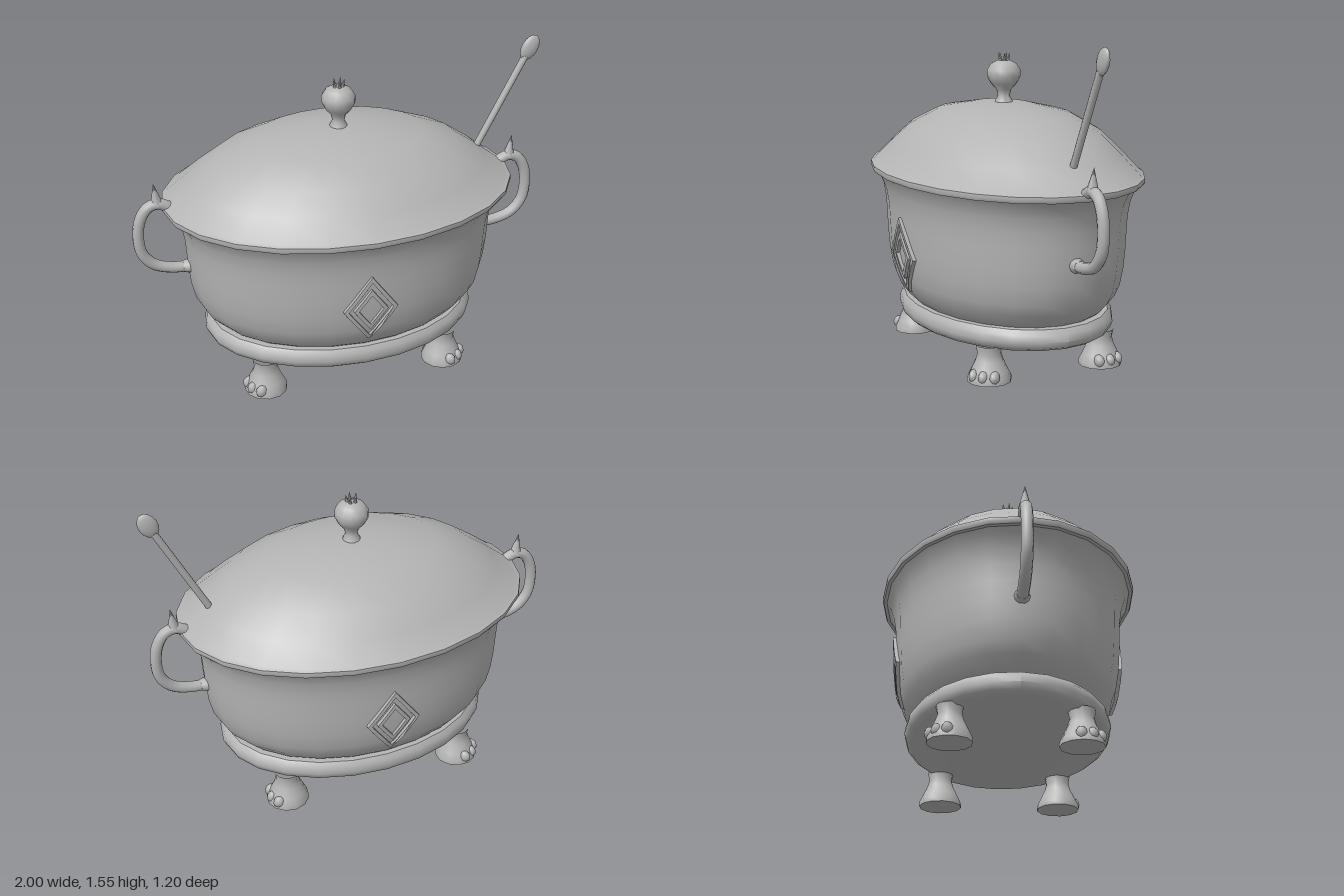
import * as THREE from 'three';
import { toCreasedNormals } from 'three/addons/utils/BufferGeometryUtils.js';

const pewter = new THREE.MeshStandardMaterial({ color: 0xb4b4b4 });
pewter.name = 'pewter grey';

const OVAL = 0.706; // depth of the oval relative to its width
const V3 = (x, y, z) => new THREE.Vector3(x, y, z);

function part(name, geometry, parent) {
  const mesh = new THREE.Mesh(geometry, pewter);
  mesh.name = name;
  parent.add(mesh);
  return mesh;
}

// turned shape from [radius, height] pairs, listed from the bottom upwards
function turned(profile, segments, depth = 1, crease = 0.75) {
  const g = new THREE.LatheGeometry(profile.map(([r, y]) => new THREE.Vector2(r, y)), segments);
  g.scale(1, 1, depth);
  return toCreasedNormals(g, crease);
}

const BOWL = [
  [0.59, 0.25], [0.63, 0.275], [0.685, 0.33], [0.715, 0.385], [0.735, 0.47], [0.745, 0.56],
  [0.75, 0.65], [0.755, 0.72], [0.77, 0.79], [0.8, 0.85], [0.83, 0.88],
];

// depth of the bowl wall at a point seen from the front
function wallZ(x, y) {
  const i = Math.max(1, BOWL.findIndex((p) => p[1] >= y));
  const [r0, y0] = BOWL[i - 1], [r1, y1] = BOWL[i];
  const r = r0 + ((r1 - r0) * (y - y0)) / (y1 - y0);
  return OVAL * Math.sqrt(r * r - x * x);
}

// outline of a diamond with subdivided sides, so it can follow the wall
function diamond(w, h, steps = 5) {
  const corners = [[w, 0], [0, h], [-w, 0], [0, -h]];
  const pts = [];
  corners.forEach(([x, y], i) => {
    const [nx, ny] = corners[(i + 1) % 4];
    for (let s = 0; s < steps; s++) {
      const t = s / steps;
      pts.push(new THREE.Vector2(x + (nx - x) * t, y + (ny - y) * t));
    }
  });
  return pts;
}

// raised diamond frame curved to the bowl
function diamondFrame(w, h, border) {
  const k = 1 - border / w;
  const shape = new THREE.Shape(diamond(w, h));
  shape.holes.push(new THREE.Path(diamond(w * k, h * k).reverse()));
  const g = new THREE.ExtrudeGeometry(shape, { depth: 0.025, bevelEnabled: false });
  const p = g.attributes.position;
  for (let i = 0; i < p.count; i++) {
    const x = p.getX(i), y = p.getY(i) + 0.51;
    p.setXYZ(i, x, y, p.getZ(i) - 0.011 + wallZ(x, y));
  }
  return toCreasedNormals(g, 0.6);
}

function makeHandle() {
  const handle = new THREE.Group();
  const path = new THREE.CatmullRomCurve3([
    V3(0.735, 0.57, 0), V3(0.82, 0.575, 0), V3(0.905, 0.605, 0), V3(0.958, 0.67, 0), V3(0.972, 0.76, 0),
    V3(0.958, 0.85, 0), V3(0.92, 0.91, 0), V3(0.87, 0.925, 0), V3(0.815, 0.9, 0),
  ]);
  part('handleLoop', new THREE.TubeGeometry(path, 28, 0.027, 10), handle);
  part('handleTip', new THREE.SphereGeometry(0.027, 10, 6), handle).position.set(0.815, 0.9, 0);
  // collar where the loop meets the bowl
  const collar = part('handleCollar', new THREE.CylinderGeometry(0.028, 0.036, 0.03, 10), handle);
  collar.rotation.z = -Math.PI / 2;
  collar.position.set(0.755, 0.571, 0);
  // thorn on top
  const thorn = part('handleThorn', new THREE.ConeGeometry(0.03, 0.11, 8), handle);
  thorn.rotation.z = -0.1;
  thorn.position.set(0.88, 0.978, 0);
  return handle;
}

// clawed foot, toes pointing along +x before turning
function makeFoot() {
  const foot = new THREE.Group();
  part('leg', turned([
    [0, 0], [0.102, 0], [0.102, 0.02], [0.085, 0.055], [0.064, 0.1], [0.055, 0.13], [0.062, 0.17],
  ], 12), foot);
  for (const s of [-1, 0, 1]) {
    const toe = part('toe', new THREE.SphereGeometry(0.028, 8, 6), foot);
    toe.scale.set(1.15, 1.1, 0.85);
    toe.position.set(0.078 - 0.012 * Math.abs(s), 0.035, s * 0.05);
  }
  return foot;
}

export function createModel() {
  const model = new THREE.Group();
  model.name = 'tureen';

  part('base', turned([
    [0, 0.16], [0.635, 0.16], [0.662, 0.175], [0.676, 0.205], [0.668, 0.238], [0.645, 0.26], [0, 0.26],
  ], 24, OVAL), model);
  part('bowl', turned(BOWL, 24, OVAL), model);
  part('lid', turned([
    [0, 0.873], [0.845, 0.873], [0.853, 0.885], [0.851, 0.902], [0.83, 0.91], [0.72, 0.998],
    [0.595, 1.088], [0.42, 1.162], [0.19, 1.2], [0, 1.21],
  ], 24, OVAL, 0.8), model);

  // knob with a small crown
  part('knob', turned([
    [0.045, 1.195], [0.04, 1.215], [0.029, 1.235], [0.035, 1.265], [0.062, 1.295], [0.08, 1.33],
    [0.079, 1.36], [0.06, 1.39], [0.03, 1.405], [0, 1.405],
  ], 14, 1, 1.2), model);
  for (let i = 0; i < 5; i++) {
    const a = (i / 5) * Math.PI * 2;
    const spike = part('crownSpike', new THREE.ConeGeometry(0.014, 0.06, 6), model);
    spike.position.set(Math.sin(a) * 0.022, 1.413, Math.cos(a) * 0.022);
    spike.rotation.set(Math.cos(a) * 0.2, 0, -Math.sin(a) * 0.2);
  }

  // handles on both ends
  for (const s of [0, 1]) {
    const handle = makeHandle();
    handle.name = s ? 'rightHandle' : 'leftHandle';
    handle.rotation.y = s * Math.PI;
    model.add(handle);
  }

  // feet: x side, z side, heading of the toes in degrees from +x towards +z
  for (const [sx, sz, heading] of [[1, 1, 45], [-1, 1, 155], [1, -1, -5], [-1, -1, 225]]) {
    const foot = makeFoot();
    foot.name = (sz > 0 ? 'front' : 'back') + (sx > 0 ? 'Left' : 'Right') + 'Foot';
    foot.position.set(0.45 * sx, 0, 0.288 * sz);
    foot.rotation.y = -THREE.MathUtils.degToRad(heading);
    model.add(foot);
  }

  // diamond ornaments on front and back
  for (const s of [0, 1]) {
    const ornament = new THREE.Group();
    ornament.name = s ? 'backOrnament' : 'frontOrnament';
    part('outerDiamond', diamondFrame(0.13, 0.182, 0.022), ornament);
    part('innerDiamond', diamondFrame(0.082, 0.113, 0.022), ornament);
    ornament.rotation.y = s * Math.PI;
    model.add(ornament);
  }

  // ladle leaning out of the lid
  const ladle = new THREE.Group();
  ladle.name = 'ladle';
  part('ladleRod', new THREE.CylinderGeometry(0.017, 0.017, 0.52, 10), ladle).position.y = 0.24;
  const grip = part('ladleGrip', new THREE.SphereGeometry(1, 12, 8), ladle);
  grip.scale.set(0.044, 0.066, 0.02);
  grip.position.y = 0.545;
  ladle.position.set(0.7, 1.0, 0);
  ladle.rotation.z = -0.475;
  model.add(ladle);

  return model;
}
